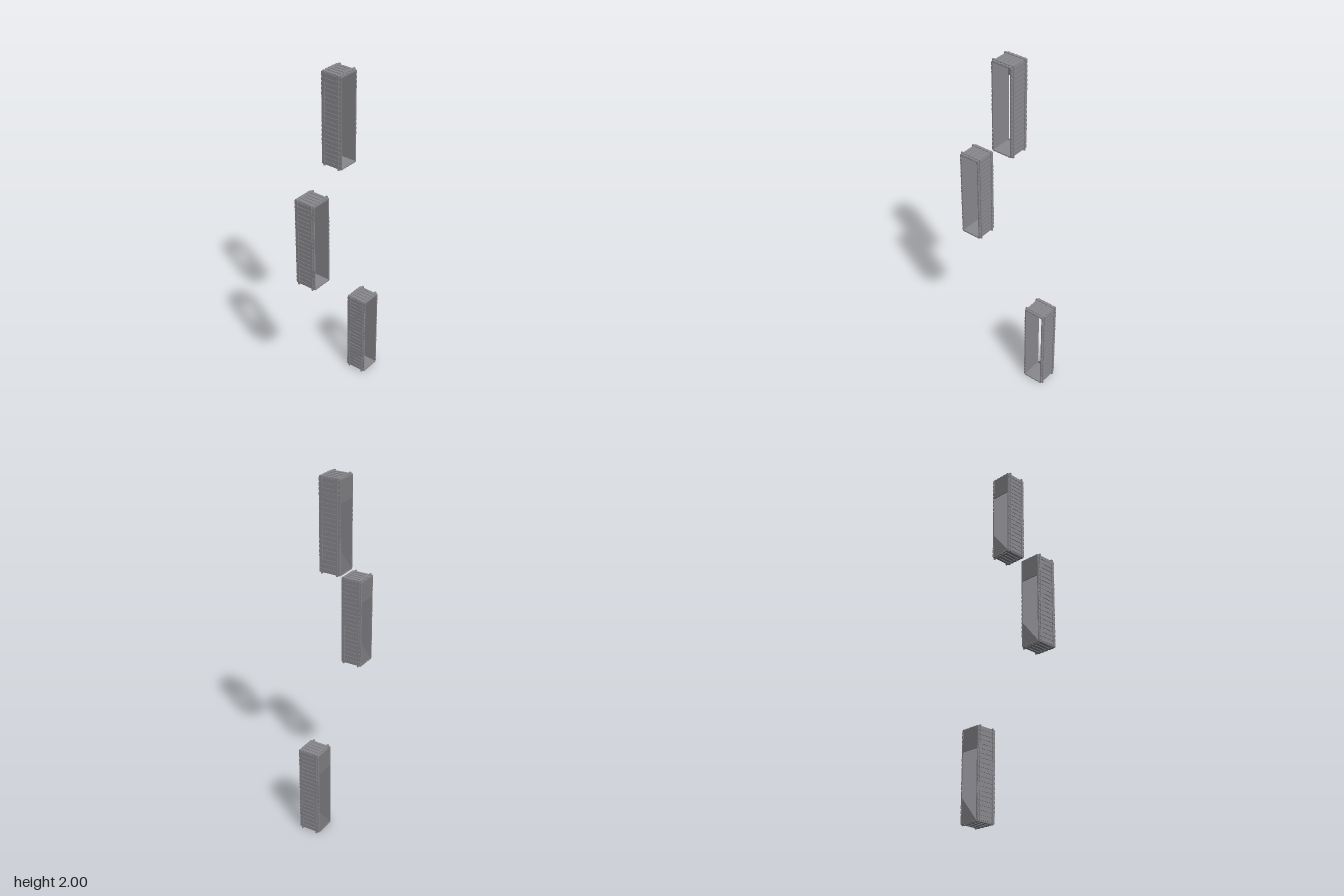
import * as THREE from 'three';

// Half sizes of one crate
const BODY_W = 0.06, BODY_H = 0.2535, BODY_D = 0.0625;
const RIB_OUT = 0.003, RAIL_OUT = 0.006;

export function createModel() {
  const wallGrey = new THREE.MeshStandardMaterial({ color: 0x8a898e });
  wallGrey.name = 'wallGrey';
  const plateGrey = new THREE.MeshStandardMaterial({ color: 0x808083 });
  plateGrey.name = 'plateGrey';

  const rect = (path, w, h) => {
    path.moveTo(-w, -h);
    path.lineTo(w, -h);
    path.lineTo(w, h);
    path.lineTo(-w, h);
    path.closePath();
    return path;
  };

  // Rectangular tube, centred along z
  const frame = (w, h, innerW, innerH, depth) => {
    const shape = rect(new THREE.Shape(), w, h);
    shape.holes.push(rect(new THREE.Path(), innerW, innerH));
    return new THREE.ExtrudeGeometry(shape, { depth, bevelEnabled: false }).translate(0, 0, -depth / 2);
  };

  const add = (group, name, geometry, material, x = 0, y = 0, z = 0) => {
    const mesh = new THREE.Mesh(geometry, material);
    mesh.name = name;
    mesh.position.set(x, y, z);
    group.add(mesh);
  };

  const shellGeo = frame(BODY_W, BODY_H, 0.054, 0.2475, BODY_D * 2);
  const railGeo = frame(BODY_W + RAIL_OUT, BODY_H + RAIL_OUT, BODY_W - 0.001, BODY_H - 0.001, 0.009);
  const sideRibGeo = new THREE.BoxGeometry(RIB_OUT * 2, 0.017, BODY_D * 2 - 0.002);
  const capRibGeo = new THREE.BoxGeometry(0.016, RIB_OUT * 2, BODY_D * 2 - 0.002);
  const upperPlateGeo = new THREE.BoxGeometry(0.11, 0.122, 0.004);

  // Triangular plate across the lower rear corner
  const gusset = new THREE.Shape();
  gusset.moveTo(-0.055, -0.25);
  gusset.lineTo(0.055, -0.25);
  gusset.lineTo(0.055, -0.115);
  gusset.closePath();
  const gussetGeo = new THREE.ExtrudeGeometry(gusset, { depth: 0.004, bevelEnabled: false });

  function crate() {
    const g = new THREE.Group();
    add(g, 'shell', shellGeo, wallGrey);
    for (const s of [-1, 1]) {
      add(g, 'rail', railGeo, wallGrey, 0, 0, s * 0.046);
      for (let i = 0; i < 20; i++)
        add(g, 'sideRib', sideRibGeo, wallGrey, s * BODY_W, (i - 9.5) * 0.0253, 0);
      for (let i = 0; i < 5; i++)
        add(g, 'capRib', capRibGeo, wallGrey, (i - 2) * 0.0245, s * BODY_H, 0);
    }
    add(g, 'upperRearPlate', upperPlateGeo, plateGrey, 0, 0.192, -0.0595);
    add(g, 'rearGusset', gussetGeo, plateGrey, 0, 0, -0.0615);
    return g;
  }

  // Three turned crates at different heights along a diagonal
  const model = new THREE.Group();
  model.name = 'crates';
  const places = [
    ['upperCrate', 0, 1.7405, 0],
    ['middleCrate', -0.184, 1.117, 0.124],
    ['lowerCrate', 0.184, 0.262, -0.124],
  ];
  for (const [name, x, y, z] of places) {
    const c = crate();
    c.name = name;
    c.position.set(x, y, z);
    c.rotation.y = 0.588;
    model.add(c);
  }
  return model;
}
